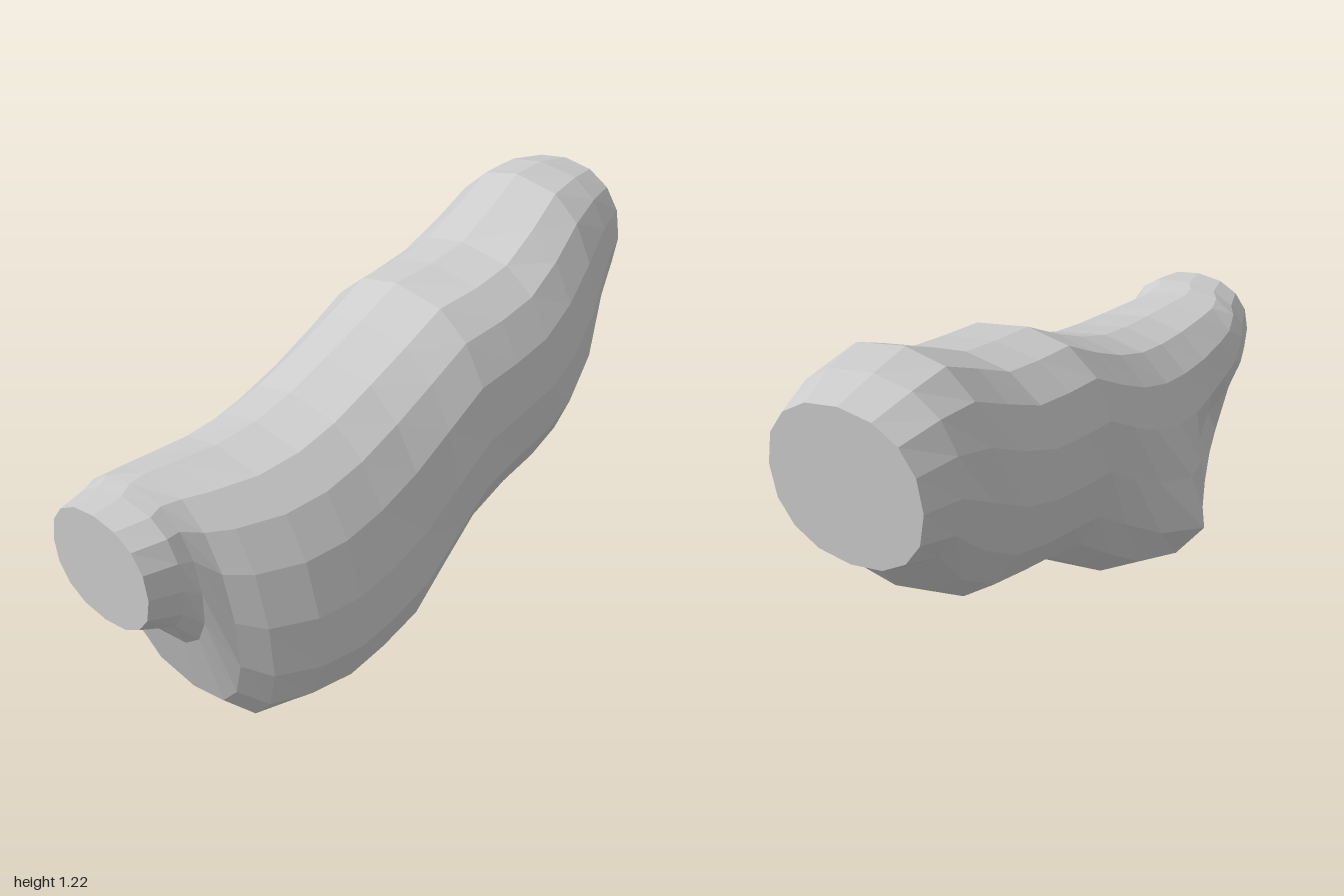
import * as THREE from 'three';

// Cross-sections along x: [x, top y, bottom y, front z, back z, skew]
const SECTIONS = [
  [-1.00, 0.795, 0.46, 0.19, -0.20, 0.00],
  [-0.90, 0.80, 0.415, 0.205, -0.235, 0.00],
  [-0.85, 0.80, 0.35, 0.22, -0.25, 0.03],
  [-0.785, 0.80, 0.13, 0.27, -0.255, 0.06],
  [-0.71, 0.80, 0.055, 0.32, -0.26, 0.07],
  [-0.57, 0.80, 0.015, 0.37, -0.27, 0.07],
  [-0.43, 0.815, 0.00, 0.39, -0.275, 0.07],
  [-0.29, 0.845, 0.015, 0.39, -0.28, 0.07],
  [-0.14, 0.90, 0.045, 0.385, -0.28, 0.07],
  [0.00, 0.965, 0.15, 0.38, -0.28, 0.06],
  [0.14, 1.04, 0.26, 0.38, -0.28, 0.05],
  [0.29, 1.055, 0.315, 0.385, -0.285, 0.04],
  [0.43, 1.08, 0.345, 0.385, -0.28, 0.04],
  [0.57, 1.15, 0.37, 0.365, -0.265, 0.04],
  [0.71, 1.215, 0.475, 0.33, -0.255, 0.04],
  [0.86, 1.21, 0.67, 0.265, -0.265, 0.02],
  [1.00, 1.185, 0.75, 0.21, -0.25, 0.00],
];
const SIDES = 16;

const power = (v, p) => Math.sign(v) * Math.abs(v) ** p;

// One point of a section: an oval, leaning back towards the top
function sectionPoint([x, top, bottom, front, back, skew], j) {
  const a = (j / SIDES) * Math.PI * 2;
  const sin = Math.sin(a), cos = Math.cos(a);
  // fuller front shoulder, and a fuller front corner at the lobe's end
  const shoulder = Math.abs(x) < 0.95 && cos > 0 && (sin > 0 || x < -0.6);
  const s = power(sin, 0.9), c = power(cos, shoulder ? 0.7 : 0.9);
  const y = (top + bottom) / 2 + ((top - bottom) / 2) * s;
  // the lean widens the oval, so its half width is reduced to match
  const half = Math.sqrt(((front - back) / 2) ** 2 - skew ** 2);
  let z = (front + back) / 2 + half * c - skew * s;
  if (c < 0) {
    const side = Math.min(1, -2.5 * c);
    // low bulge on the back of the lobe, sharpest at its middle
    z -= 0.18 * side * Math.exp(-Math.abs(x + 0.29) / 0.28 - ((y - 0.2) / 0.23) ** 2);
    // hollow between the bulge and the narrow end
    z += 0.08 * side * Math.exp(-(((x + 0.66) / 0.16) ** 2) - ((y - 0.4) / 0.13) ** 2);
  }
  return [x, y, z];
}

function bodyGeometry() {
  const positions = [], index = [];
  SECTIONS.forEach((section) => {
    for (let j = 0; j < SIDES; j++) positions.push(...sectionPoint(section, j));
  });
  // skin between neighbouring sections
  for (let i = 0; i < SECTIONS.length - 1; i++) {
    for (let j = 0; j < SIDES; j++) {
      const k = (j + 1) % SIDES;
      const a = i * SIDES + j, b = i * SIDES + k;
      const c = a + SIDES, d = b + SIDES;
      index.push(a, c, b, b, c, d);
    }
  }
  // flat ends
  const last = (SECTIONS.length - 1) * SIDES;
  for (let j = 1; j < SIDES - 1; j++) {
    index.push(0, j, j + 1);
    index.push(last, last + j + 1, last + j);
  }
  const geometry = new THREE.BufferGeometry();
  geometry.setAttribute('position', new THREE.Float32BufferAttribute(positions, 3));
  geometry.setIndex(index);
  const flat = geometry.toNonIndexed();
  flat.computeVertexNormals();
  return flat;
}

export function createModel() {
  const group = new THREE.Group();
  group.name = 'lobedTube';
  const material = new THREE.MeshStandardMaterial({ color: 0xcccccc, flatShading: true });
  const body = new THREE.Mesh(bodyGeometry(), material);
  body.name = 'body';
  group.add(body);
  return group;
}
